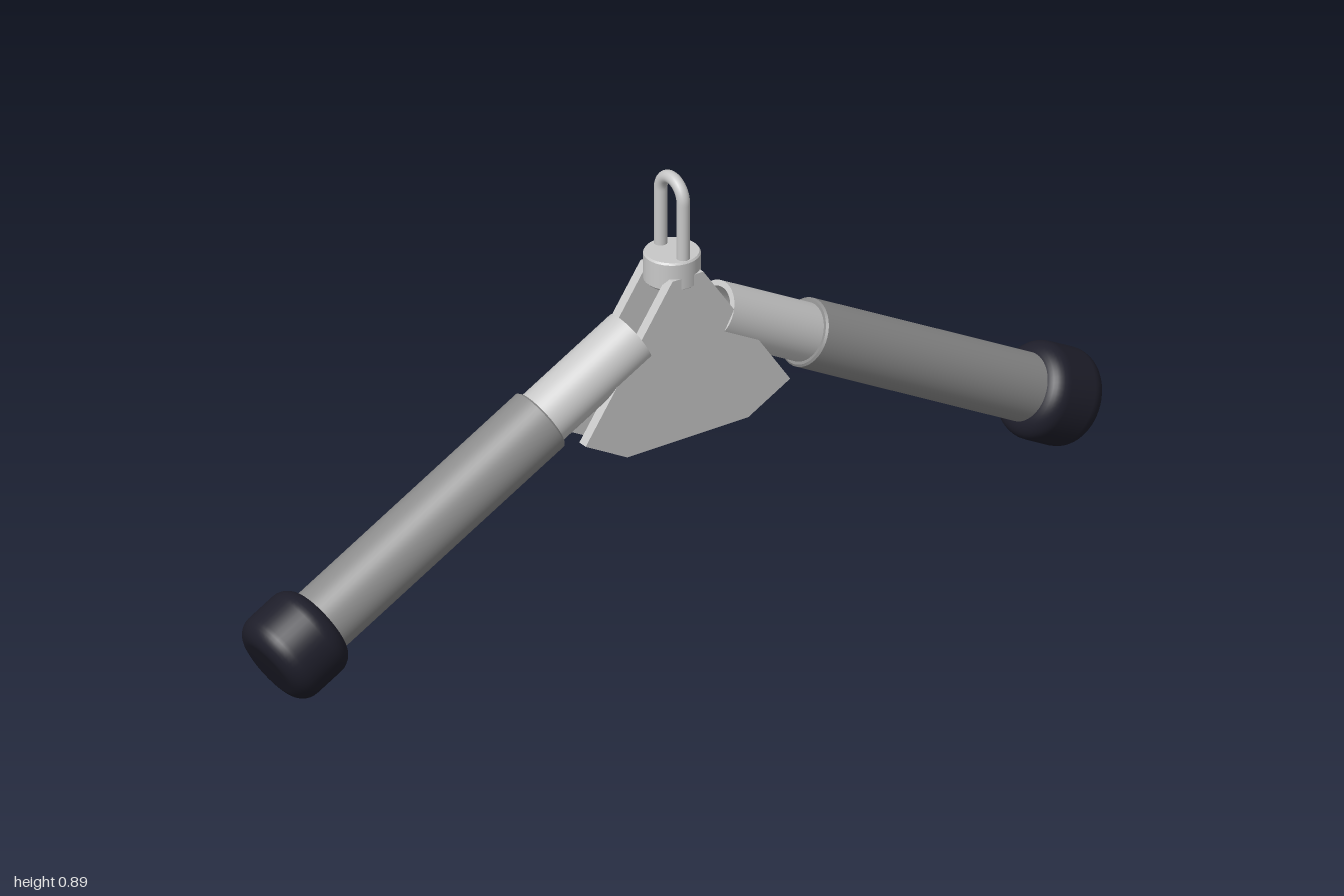
import * as THREE from 'three';

const mat = (name, color) => {
  const m = new THREE.MeshStandardMaterial({ color });
  m.name = name;
  return m;
};

// Lathe whose sharp corners stay sharp: each polyline run is its own smooth strip
function turned(name, runs, material, parent) {
  const g = new THREE.Group();
  g.name = name;
  for (const run of runs) {
    const pts = run.map(([r, y]) => new THREE.Vector2(r, y));
    const mesh = new THREE.Mesh(new THREE.LatheGeometry(pts, 48), material);
    mesh.name = name + 'Surface';
    g.add(mesh);
  }
  parent.add(g);
  return g;
}

// Splits a profile into one straight run per edge
const edges = (p) => p.slice(1).map((q, i) => [p[i], q]);

export function createModel() {
  const model = new THREE.Group();
  model.name = 'cableHandle';
  const steel = mat('steel', 0xc8c8c8);
  const gripGrey = mat('gripGrey', 0x8c8c8c);
  const rubber = mat('blackRubber', 0x1e1e2a);

  // Two angled arms, each running along its local +y axis outwards and down
  const tilt = Math.atan2(0.479, 0.878);
  for (const side of [1, -1]) {
    const arm = new THREE.Group();
    arm.name = side > 0 ? 'leftArm' : 'rightArm';
    arm.position.set(0.099 * side, 0.546, 0);
    arm.rotation.z = -side * (Math.PI / 2 + tilt);
    model.add(arm);

    // Hollow tube with an open inner end
    turned('tube', edges([[0.048, 0.6], [0.048, 0], [0.06, 0], [0.06, 0.6]]), steel, arm);

    // Sleeve grip with a small chamfer at each end
    turned('grip', edges([[0.055, 0.244], [0.066, 0.244], [0.07, 0.248], [0.07, 0.856], [0.066, 0.86], [0, 0.86]]), gripGrey, arm);

    // Rounded end cap
    const R = 0.1, c = 0.04, a = 0.844, b = 0.988;
    const cap = [[0, a]];
    for (let i = 0; i <= 8; i++) {
      const t = (i / 8) * Math.PI / 2;
      cap.push([R - c + c * Math.sin(t), a + c - c * Math.cos(t)]);
    }
    for (let i = 0; i <= 8; i++) {
      const t = (i / 8) * Math.PI / 2;
      cap.push([R - c + c * Math.cos(t), b - c + c * Math.sin(t)]);
    }
    cap.push([0, b]);
    turned('endCap', [cap], rubber, arm);
  }

  // Pair of gusset plates
  const outline = [[0.037, 0.675], [-0.037, 0.675], [-0.245, 0.37], [-0.145, 0.315], [0.145, 0.315], [0.245, 0.37]];
  const shape = new THREE.Shape(outline.map(([x, y]) => new THREE.Vector2(x, y)));
  const plateGeo = new THREE.ExtrudeGeometry(shape, { depth: 0.022, bevelEnabled: false });
  plateGeo.translate(0, 0, -0.011);
  for (const side of [1, -1]) {
    const plate = new THREE.Mesh(plateGeo, steel);
    plate.name = side > 0 ? 'frontPlate' : 'backPlate';
    plate.position.z = 0.044 * side;
    model.add(plate);
  }

  // Swivel collar
  turned('collar', edges([[0, 0.645], [0.051, 0.645], [0.057, 0.651], [0.057, 0.706], [0.054, 0.71], [0, 0.71]]), steel, model);

  // Hanging loop of bent rod
  const h = 0.039, top = 0.833;
  const path = new THREE.CurvePath();
  const v = (y, z) => new THREE.Vector3(0, y, z);
  const k = 0.5523 * h;
  path.add(new THREE.LineCurve3(v(0.68, h), v(top, h)));
  path.add(new THREE.CubicBezierCurve3(v(top, h), v(top + k, h), v(top + h, k), v(top + h, 0)));
  path.add(new THREE.CubicBezierCurve3(v(top + h, 0), v(top + h, -k), v(top + k, -h), v(top, -h)));
  path.add(new THREE.LineCurve3(v(top, -h), v(0.68, -h)));
  const loop = new THREE.Mesh(new THREE.TubeGeometry(path, 80, 0.0135, 20), steel);
  loop.name = 'hangingLoop';
  model.add(loop);

  return model;
}
